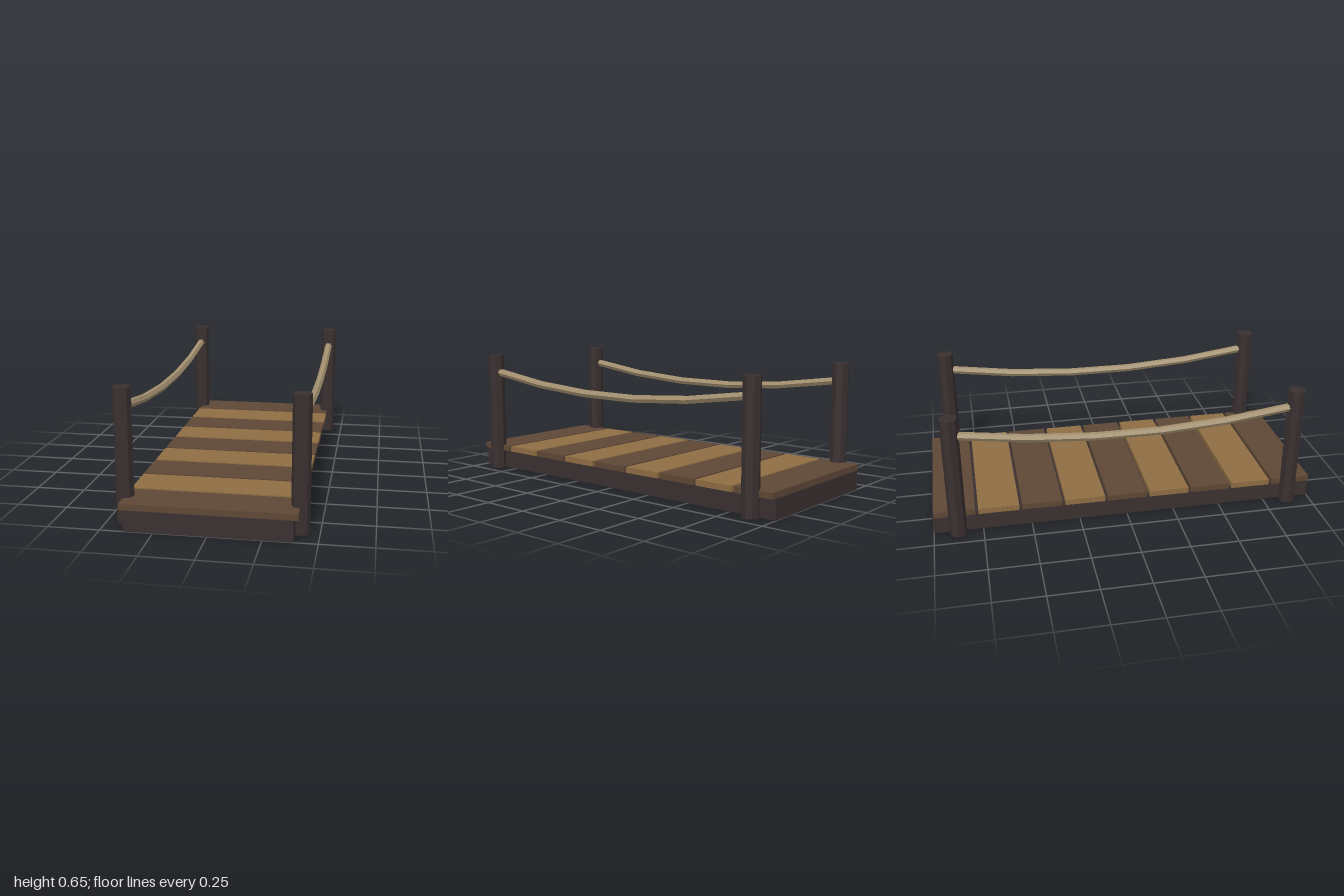
import * as THREE from 'three';

const material = (name, color) => {
  const m = new THREE.MeshStandardMaterial({ color, flatShading: true });
  m.name = name;
  return m;
};

export function createModel() {
  const group = new THREE.Group();
  group.name = 'plankBridge';

  const darkTimber = material('dark timber', 0x3a3030);
  const brownWood = material('brown wood', 0x5e4735);
  const tanWood = material('tan wood', 0x8e6d43);
  const ropeFibre = material('rope fibre', 0xa3906f);
  ropeFibre.side = THREE.DoubleSide;

  const add = (name, geometry, mat, x = 0, y = 0, z = 0) => {
    const mesh = new THREE.Mesh(geometry, mat);
    mesh.name = name;
    mesh.position.set(x, y, z);
    group.add(mesh);
    return mesh;
  };

  // Solid base under the deck
  add('base', new THREE.BoxGeometry(0.78, 0.1, 2), darkTimber, 0, 0.05, 0);

  // Nine deck planks in alternating colours, with narrow gaps
  const count = 9;
  const pitch = 2 / count;
  const plank = new THREE.BoxGeometry(0.82, 0.03, pitch - 0.015);
  for (let i = 0; i < count; i++) {
    add('plank', plank, i % 2 ? tanWood : brownWood, 0, 0.115, -1 + pitch * (i + 0.5));
  }

  // Posts at the corners and a sagging rope along each side
  const post = new THREE.CylinderGeometry(0.044, 0.044, 0.65, 8);
  const sag = new THREE.QuadraticBezierCurve3(
    new THREE.Vector3(0, 0.553, -0.845),
    new THREE.Vector3(0, 0.409, 0),
    new THREE.Vector3(0, 0.553, 0.845)
  );
  const rope = new THREE.TubeGeometry(sag, 5, 0.021, 6);
  for (const side of [-1, 1]) {
    for (const end of [-1, 1]) {
      add('post', post, darkTimber, side * 0.41, 0.325, end * 0.877);
    }
    add('rope', rope, ropeFibre, side * 0.41);
  }

  return group;
}
